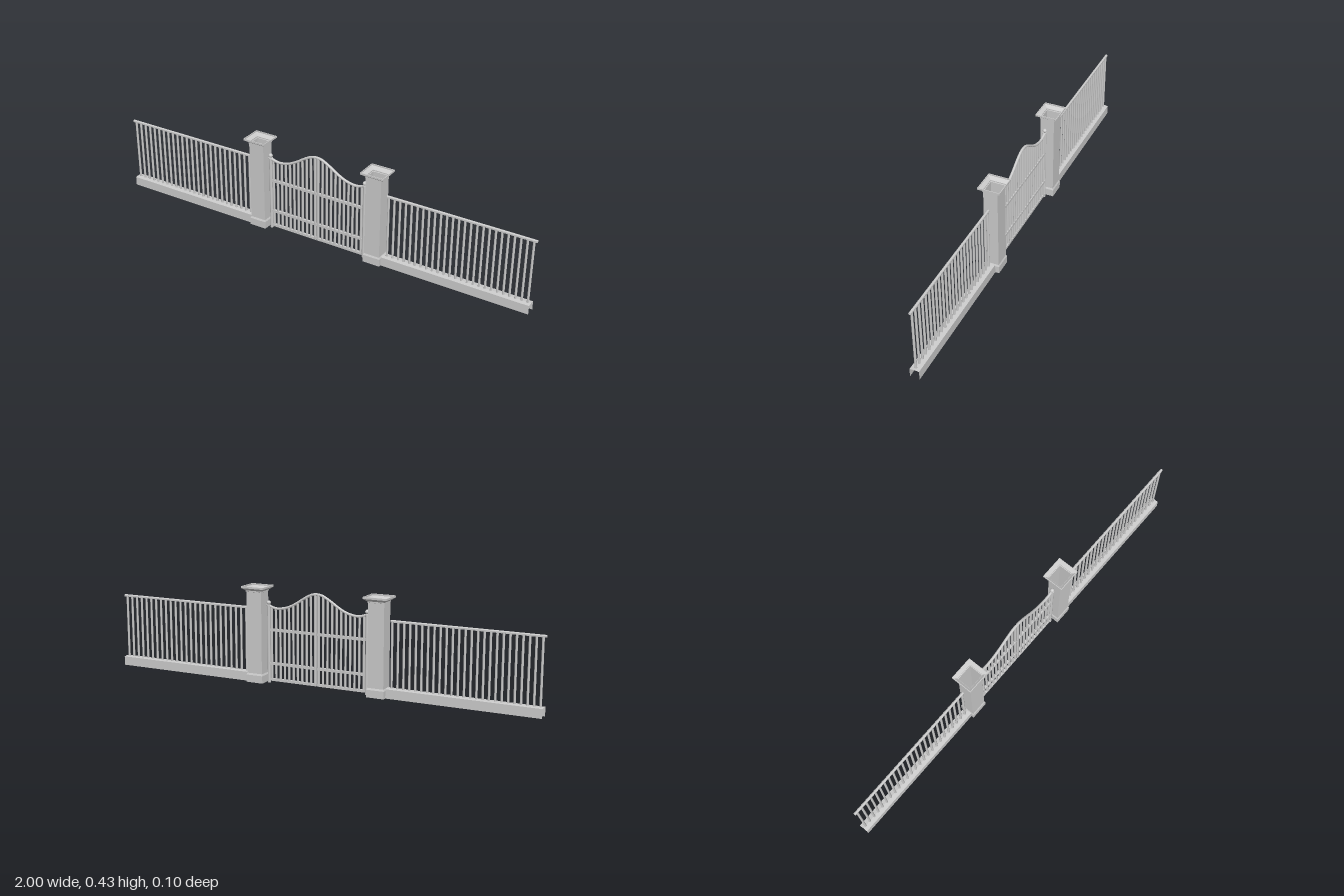
import * as THREE from 'three';

const flat = new THREE.MeshStandardMaterial({ color: 0xcccccc, flatShading: true, side: THREE.DoubleSide });
const smooth = new THREE.MeshStandardMaterial({ color: 0xcccccc });
const AXIS_Z = 0.003; // the fence and gate stand slightly ahead of the pillar centres

function add(parent, name, geometry, material, x = 0, y = 0, z = 0) {
  const mesh = new THREE.Mesh(geometry, material);
  mesh.name = name;
  mesh.position.set(x, y, z);
  parent.add(mesh);
  return mesh;
}

// Upright round bar between two heights
function bar(parent, name, x, y0, y1, r) {
  return add(parent, name, new THREE.CylinderGeometry(r, r, y1 - y0, 8), smooth, x, (y0 + y1) / 2);
}

// Level box rail between two x positions
function rail(parent, name, x0, x1, y, h, d) {
  return add(parent, name, new THREE.BoxGeometry(x1 - x0, h, d), flat, (x0 + x1) / 2, y);
}

// Hollow pillar with a flared open cap, a little wider in x than in z
function pillar(side) {
  const profile = [[0.035, 0], [0.035, 0.033], [0.0315, 0.041], [0.0315, 0.403], [0.034, 0.404],
    [0.034, 0.409], [0.037, 0.411], [0.049, 0.42], [0.049, 0.428], [0.046, 0.428]]
    .map(([h, y]) => new THREE.Vector2(h * Math.SQRT2, y));
  const shell = new THREE.LatheGeometry(profile, 4, Math.PI / 4);
  const pos = shell.attributes.position;
  for (let i = 0; i < pos.count; i++) pos.setX(i, pos.getX(i) + Math.sign(pos.getX(i)) * 0.005);
  const g = new THREE.Group();
  g.name = 'pillar';
  add(g, 'pillarShell', shell, flat, side * 0.29);
  return g;
}

// Open shell kerb with a slightly peaked top, running along x
function kerbGeometry(x0, x1) {
  const section = [[0.0205, 0], [0.02, 0.04], [0, 0.0425], [-0.02, 0.04], [-0.0205, 0]];
  const pos = [], index = [];
  section.forEach(([z, y], i) => {
    pos.push(x0, y, z, x1, y, z);
    if (i < section.length - 1) {
      const a = i * 2;
      index.push(a, a + 1, a + 3, a, a + 3, a + 2);
    }
  });
  const geo = new THREE.BufferGeometry();
  geo.setAttribute('position', new THREE.Float32BufferAttribute(pos, 3));
  geo.setIndex(index);
  geo.computeVertexNormals();
  return geo;
}

// Kerb, balusters and handrail beside a pillar
function fence(side) {
  const g = new THREE.Group();
  g.name = 'fence';
  g.position.z = AXIS_Z;
  const [x0, x1] = side > 0 ? [0.33, 1] : [-1, -0.33];
  add(g, 'kerb', kerbGeometry(x0, x1), flat);
  const count = 25;
  for (let i = 0; i < count; i++) {
    bar(g, 'baluster', side * (0.349 + 0.637 * i / (count - 1)), 0.04, 0.325, 0.0052);
  }
  const [r0, r1] = side > 0 ? [0.342, 1] : [-1, -0.342];
  rail(g, 'handrail', r0, r1, 0.326, 0.006, 0.011);
  const crown = add(g, 'handrailCrown', new THREE.CylinderGeometry(0.0055, 0.0055, r1 - r0, 10), smooth, (r0 + r1) / 2, 0.3275);
  crown.rotation.z = Math.PI / 2;
  return g;
}

// Height of the swept gate top, measured from the meeting edge outward
const sweep = new THREE.SplineCurve([[0, 0.411], [0.025, 0.407], [0.06, 0.389], [0.1, 0.363],
  [0.14, 0.343], [0.18, 0.334], [0.205, 0.335], [0.228, 0.342]].map(p => new THREE.Vector2(...p)));
const sweepPoints = sweep.getPoints(60);
function sweepHeight(x) {
  const i = Math.max(1, sweepPoints.findIndex(p => p.x >= x));
  const a = sweepPoints[i - 1], b = sweepPoints[i];
  return THREE.MathUtils.mapLinear(x, a.x, b.x, a.y, b.y);
}

function gateLeaf(side) {
  const g = new THREE.Group();
  g.name = 'gateLeaf';
  g.position.z = AXIS_Z;
  // Hinge post with ball finial
  bar(g, 'hingePost', side * 0.235, 0, 0.345, 0.0075);
  add(g, 'finialCollar', new THREE.CylinderGeometry(0.0095, 0.0095, 0.004, 12), smooth, side * 0.235, 0.345);
  add(g, 'finialBall', new THREE.SphereGeometry(0.0095, 14, 10), smooth, side * 0.235, 0.357);
  // Level rails
  const [a, b] = side > 0 ? [0.002, 0.23] : [-0.23, -0.002];
  for (const y of [0.015, 0.087, 0.238]) rail(g, 'gateRail', a, b, y, 0.011, 0.011);
  // Curved top rail
  const path = new THREE.CatmullRomCurve3(sweepPoints.filter((p, i) => i % 4 === 0)
    .map(p => new THREE.Vector3(side * p.x, p.y, 0)));
  add(g, 'topRail', new THREE.TubeGeometry(path, 32, 0.006, 8), smooth);
  // Meeting stile and upright bars
  bar(g, 'meetingStile', side * 0.0075, 0.012, sweepHeight(0.0075), 0.0065);
  const count = 10;
  for (let i = 1; i <= count; i++) {
    const x = 0.0075 + 0.2135 * i / count;
    bar(g, 'gateBar', side * x, 0.012, sweepHeight(x), 0.0055);
  }
  return g;
}

export function createModel() {
  const model = new THREE.Group();
  model.name = 'gateAndFence';
  for (const side of [-1, 1]) model.add(pillar(side), fence(side), gateLeaf(side));
  return model;
}
